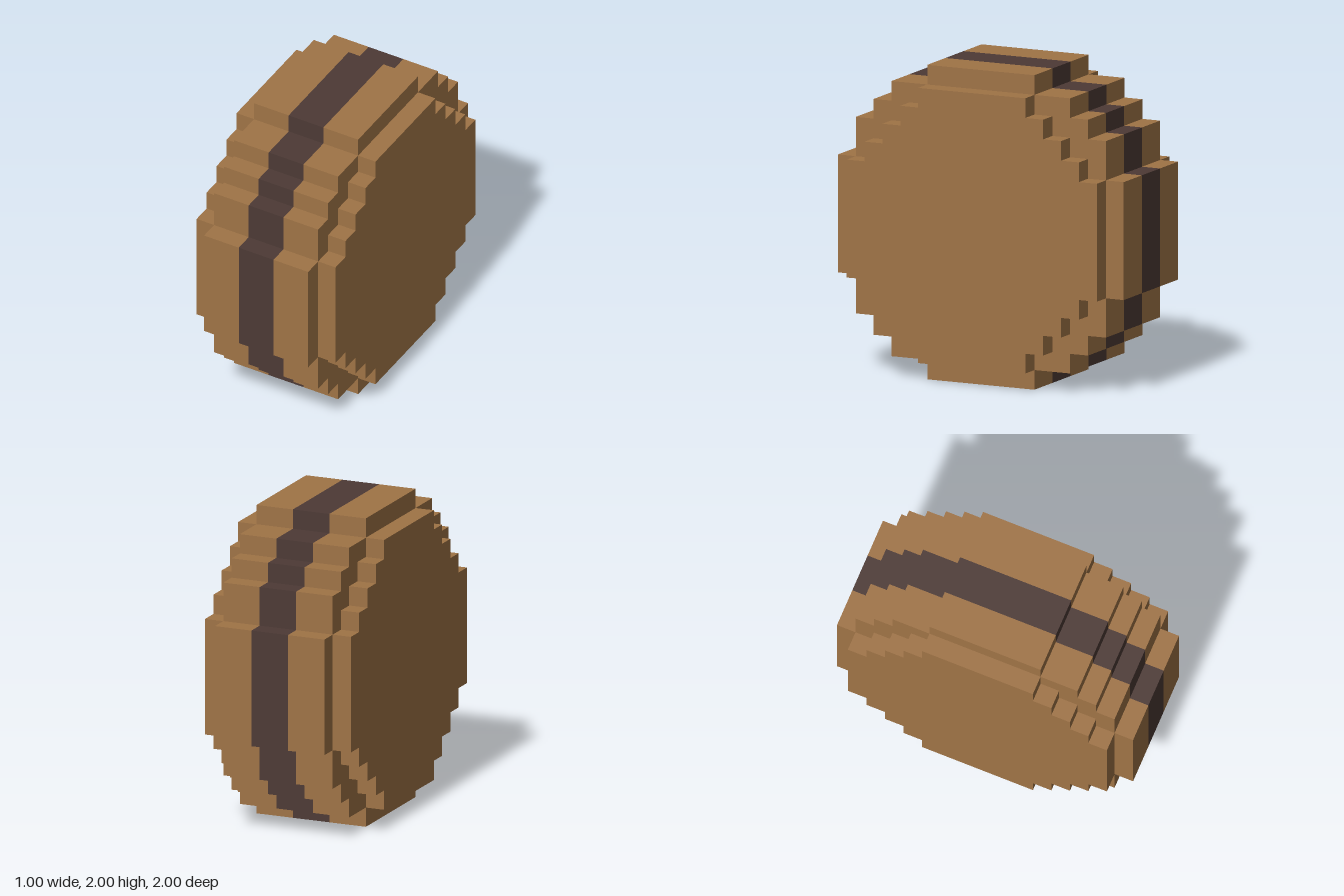
import * as THREE from 'three';

const wood = new THREE.MeshStandardMaterial({ color: 0xa07446 });
wood.name = 'wood brown';
const dark = new THREE.MeshStandardMaterial({ color: 0x4d3a35 });
dark.name = 'dark band';

// Stepped quarter outlines, from the top edge round to the side edge
const TREAD = [[0.375, 1], [0.375, 0.875], [0.625, 0.875], [0.625, 0.75], [0.75, 0.75],
  [0.75, 0.625], [0.875, 0.625], [0.875, 0.375], [1, 0.375]];
const CAP = [[0.375, 0.875], [0.375, 0.75], [0.5, 0.75], [0.5, 0.625], [0.625, 0.625],
  [0.625, 0.5], [0.75, 0.5], [0.75, 0.375], [0.875, 0.375]];

// Slab of the wheel between x0 and x1, its quarter outline turned four times
function slab(name, quarter, x0, x1, material) {
  const points = [];
  for (let turn = 0; turn < 4; turn++) {
    for (const [a, b] of quarter) {
      const [z, y] = [[a, b], [b, -a], [-a, -b], [-b, a]][turn];
      points.push(new THREE.Vector2(z, y));
    }
  }
  const geometry = new THREE.ExtrudeGeometry(new THREE.Shape(points), { depth: x1 - x0, bevelEnabled: false });
  geometry.rotateY(Math.PI / 2).translate(x0, 1, 0);
  const mesh = new THREE.Mesh(geometry, material);
  mesh.name = name;
  return mesh;
}

export function createModel() {
  const wheel = new THREE.Group();
  wheel.name = 'blockWheel';
  wheel.add(
    slab('rightCap', CAP, -0.5, -0.375, wood),
    slab('rightTread', TREAD, -0.375, -0.125, wood),
    slab('centreBand', TREAD, -0.125, 0.125, dark),
    slab('leftTread', TREAD, 0.125, 0.375, wood),
    slab('leftCap', CAP, 0.375, 0.5, wood),
  );
  return wheel;
}
